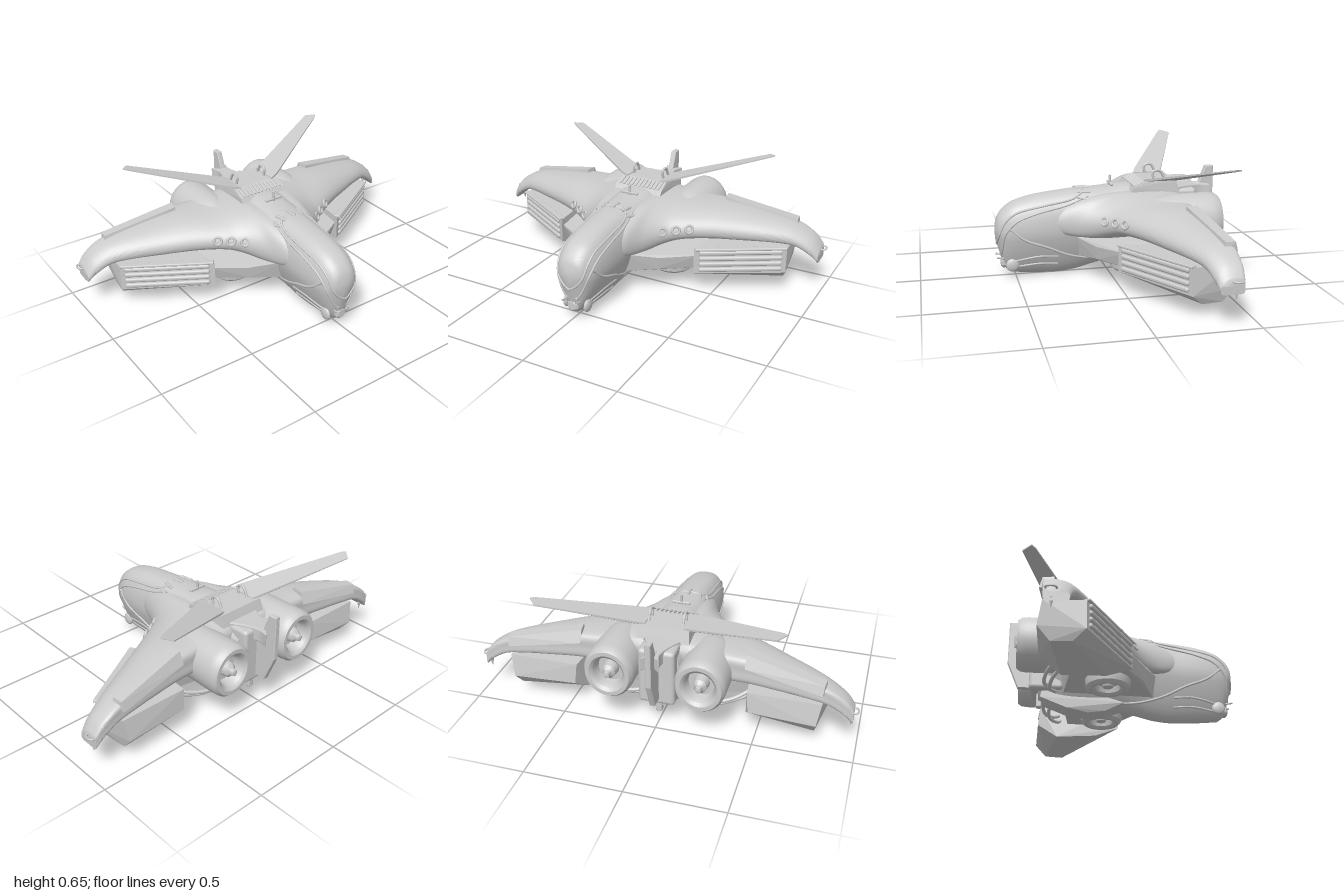
import * as THREE from 'three';
import { toCreasedNormals } from 'three/addons/utils/BufferGeometryUtils.js';
import { ConvexGeometry } from 'three/addons/geometries/ConvexGeometry.js';
import { RoundedBoxGeometry } from 'three/addons/geometries/RoundedBoxGeometry.js';

const V = (x, y, z) => new THREE.Vector3(x, y, z);
const material = new THREE.MeshStandardMaterial({ color: 0xcccccc, side: THREE.DoubleSide });

// Smooth interpolation through a table of stations
function sample(table, t) {
  const last = table.length - 1, i = Math.max(0, Math.min(Math.floor(t), last - 1)), f = t - i;
  const at = k => table[Math.max(0, Math.min(k, last))];
  return table[i].map((b, k) => {
    const a = at(i - 1)[k], c = at(i + 1)[k], d = at(i + 2)[k];
    return b + 0.5 * f * (c - a + f * (2 * a - 5 * b + 4 * c - d + f * (3 * (b - c) + d - a)));
  });
}

// Skin closed rings of points and cap both ends
function loft(rings) {
  const n = rings[0].length, pts = rings.flat(), index = [];
  for (let r = 0; r < rings.length - 1; r++) {
    for (let i = 0; i < n; i++) {
      const a = r * n + i, b = r * n + (i + 1) % n;
      index.push(a, b, a + n, b, b + n, a + n);
    }
  }
  [0, rings.length - 1].forEach(r => {
    const centre = rings[r].reduce((s, p) => s.add(p), V(0, 0, 0)).divideScalar(n);
    const c = pts.push(centre) - 1;
    for (let i = 0; i < n; i++) {
      const a = r * n + i, b = r * n + (i + 1) % n;
      index.push(...(r ? [c, a, b] : [c, b, a]));
    }
  });
  // Turn the skin outwards if its signed volume is negative
  let volume = 0;
  for (let i = 0; i < index.length; i += 3) {
    volume += pts[index[i]].dot(V(0, 0, 0).crossVectors(pts[index[i + 1]], pts[index[i + 2]]));
  }
  if (volume < 0) index.reverse();
  const g = new THREE.BufferGeometry().setFromPoints(pts);
  g.setIndex(index);
  return toCreasedNormals(g, 0.8);
}

function mirrored(geometry) {
  const g = geometry.index ? geometry.toNonIndexed() : geometry.clone();
  g.scale(-1, 1, 1);
  for (const a of Object.values(g.attributes)) {
    for (let i = 0; i < a.count; i += 3) {
      for (let k = 0; k < a.itemSize; k++) {
        const keep = a.getComponent(i + 1, k);
        a.setComponent(i + 1, k, a.getComponent(i + 2, k));
        a.setComponent(i + 2, k, keep);
      }
    }
  }
  return g;
}

const tube = (points, r, seg = 32) =>
  new THREE.TubeGeometry(new THREE.CatmullRomCurve3(points), seg, r, 8);
const box = (w, h, d, x, y, z, r = 0.008) => new RoundedBoxGeometry(w, h, d, 2, r).translate(x, y, z);
const lathe = pts => toCreasedNormals(
  new THREE.LatheGeometry(pts.map(p => new THREE.Vector2(...p)), 40), 0.6);
const hull = pts => new ConvexGeometry(pts.map(p => V(...p)));
const bothSides = pts => pts.flatMap(([x, y, z]) => [[x, y, z], [-x, y, z]]);

// Fuselage stations: z, half width, top, bottom, height of widest line
const BODY = [
  [0.603, 0.03, 0.285, 0.205, 0.25], [0.588, 0.066, 0.33, 0.15, 0.25], [0.555, 0.09, 0.37, 0.045, 0.24],
  [0.5, 0.108, 0.405, 0.015, 0.24], [0.4, 0.12, 0.432, 0.005, 0.24], [0.28, 0.125, 0.448, 0, 0.25],
  [0.18, 0.13, 0.457, 0.01, 0.27], [0.1, 0.138, 0.46, 0.03, 0.29], [0, 0.145, 0.465, 0.05, 0.3],
  [-0.12, 0.145, 0.475, 0.045, 0.3], [-0.3, 0.135, 0.46, 0.055, 0.3], [-0.43, 0.11, 0.44, 0.09, 0.3]];
function bodyPoint(t, angle) {
  const [z, w, top, bottom, mid] = sample(BODY, t), s = Math.sin(angle), c = Math.cos(angle);
  // Square-shouldered above the widest line, tapering below it
  if (s < 0) return V(w * c * (1 + 0.35 * s), mid + s * (mid - bottom), z);
  return V(w * Math.sign(c) * Math.abs(c) ** 0.75, mid + s ** 0.85 * (top - mid), z);
}
const onBody = list => list.map(([t, deg]) => bodyPoint(t, deg * Math.PI / 180));

// Wing stations: x, front z, back z, top, bottom
const WING = [
  [0.05, 0.38, -0.38, 0.445, 0.24], [0.12, 0.29, -0.385, 0.452, 0.225], [0.17, 0.17, -0.385, 0.447, 0.22],
  [0.24, 0.065, -0.385, 0.437, 0.245], [0.32, 0.005, -0.387, 0.427, 0.265], [0.45, -0.07, -0.39, 0.418, 0.27],
  [0.6, -0.145, -0.4, 0.394, 0.265], [0.75, -0.215, -0.415, 0.365, 0.26], [0.85, -0.26, -0.42, 0.335, 0.245],
  [0.93, -0.285, -0.42, 0.287, 0.2], [0.972, -0.3, -0.415, 0.235, 0.16]];
const AIRFOIL = new THREE.CatmullRomCurve3([[0, 0.3], [0.09, 0.65], [0.35, 0.93], [0.7, 1], [0.96, 0.93],
  [1, 0.5], [0.96, 0.05], [0.5, 0], [0.08, 0.04]].map(p => V(p[0], p[1], 0)), true).getPoints(44).slice(0, -1);

export function createModel() {
  const model = new THREE.Group();
  const add = (name, g) => {
    const m = new THREE.Mesh(g, material);
    m.name = name;
    model.add(m);
  };
  const pair = (name, g) => { add(name + 'Left', g); add(name + 'Right', mirrored(g)); };

  // Fuselage
  const rings = [];
  for (let i = 0; i <= 66; i++) {
    rings.push(Array.from({ length: 48 }, (_, k) => bodyPoint(i / 6, k / 24 * Math.PI)));
  }
  add('fuselage', loft(rings));

  // Canopy frame, side creases and collar ribs
  pair('canopyFrame', tube(onBody([[6.5, 90], [6.4, 68], [5.8, 52], [4.5, 46], [3, 41], [2, 28], [1.1, -5],
    [0.7, -45], [0.6, -90]]), 0.006, 60));
  pair('cheekRidge', tube(onBody([[6.8, 55], [5.5, 40], [4, 32], [3, 22], [2, 2], [1.6, -30], [1.5, -60]]), 0.006, 50));
  pair('sideCrease', tube(onBody([[2.5, 12], [3.5, -6], [4.5, -18], [5.5, -34], [7, -52], [8.5, -62]]), 0.007, 50));
  for (let i = -2; i <= 2; i++) {
    add('collarRib', tube(onBody([[6.1, 90 + i * 18], [6.5, 90 + i * 21], [7, 90 + i * 23]]), 0.009, 10));
  }
  // Fluted folds sweeping back from the chin
  [-38, -52].forEach(a => pair('chinFold', tube(onBody([[2.6, a - 8], [3.3, a], [4.2, a + 6], [5, a + 4]]), 0.006, 24)));

  // Chin sensors and probes
  pair('chinSensor', new THREE.SphereGeometry(0.035, 24, 16).scale(0.4, 1, 1).translate(0.06, 0.07, 0.52));
  add('noseSensor', lathe([[0, 0], [0.032, 0], [0.032, 0.045], [0.022, 0.055], [0, 0.055]])
    .rotateX(Math.PI / 2).translate(0, 0.075, 0.522));
  add('noseLip', box(0.08, 0.026, 0.05, 0, 0.125, 0.555, 0.012));
  pair('noseProbe', tube([V(0.035, 0.1, 0.54), V(0.04, 0.105, 0.575), V(0.04, 0.11, 0.6)], 0.005, 8));

  // Wings with drooped tips
  const sections = [];
  for (let i = 0; i <= 60; i++) {
    const [x, zf, zb, top, bottom] = sample(WING, i / 6);
    sections.push(AIRFOIL.map(p => V(x, bottom + (top - bottom) * p.y, zf + (zb - zf) * p.x)));
  }
  pair('wing', loft(sections));
  pair('wingFlap', hull([[0.44, 0.438, -0.31], [0.83, 0.363, -0.37], [0.43, 0.436, -0.37], [0.825, 0.36, -0.422],
    [0.43, 0.34, -0.3], [0.84, 0.3, -0.36], [0.43, 0.37, -0.398], [0.82, 0.31, -0.437]]));
  pair('tipLoop', tube([V(0.95, 0.22, -0.36), V(0.985, 0.222, -0.36), V(0.994, 0.222, -0.38),
    V(0.985, 0.222, -0.405), V(0.95, 0.22, -0.4)], 0.005));
  pair('tipSpike', new THREE.ConeGeometry(0.012, 0.05, 8).rotateX(Math.PI).translate(0.962, 0.155, -0.38));

  // Round ports along the wing's leading edge
  [[0.238, 0.06], [0.297, 0.018], [0.357, -0.018]].forEach(([x, z], i) =>
    pair('wingPort', new THREE.TorusGeometry(0.02, 0.007, 8, 24).rotateX(-0.3).rotateY(0.6)
      .translate(x, 0.327 + i * 0.005, z)));

  // Slung pods with louvred intakes
  pair('pod', hull([
    [0.41, 0.25, 0.03], [0.41, 0.115, 0.03], [0.42, 0.07, -0.1], [0.43, 0.06, -0.32], [0.46, 0.14, -0.43],
    [0.45, 0.25, -0.42], [0.83, 0.25, -0.22], [0.83, 0.11, -0.22], [0.8, 0.058, -0.28], [0.79, 0.06, -0.38],
    [0.8, 0.13, -0.44], [0.82, 0.25, -0.42]]));
  const face = Math.atan2(0.25, 0.42);
  const onFace = (w, h, d, y, r) => box(w, h, d, 0, 0, 0, r).rotateY(face).translate(0.62, y, -0.1);
  for (let i = 0; i < 4; i++) pair('louvre', onFace(0.44, 0.024, 0.036, 0.136 + i * 0.032, 0.01));
  pair('intakeLip', onFace(0.485, 0.014, 0.036, 0.252, 0.005));

  // Pylons carrying the pods
  pair('pylon', hull([[0.08, 0.22, 0.2], [0.08, 0.11, 0.17], [0.25, 0.2, 0.11], [0.24, 0.13, 0.1],
    [0.43, 0.21, 0], [0.43, 0.13, -0.03], [0.43, 0.23, -0.28], [0.43, 0.14, -0.26], [0.08, 0.25, -0.32],
    [0.08, 0.12, -0.3]]));

  // Downward lift fans
  pair('liftFan', lathe([[0.11, 0.2], [0.116, 0.12], [0.11, 0.088], [0.095, 0.074], [0.078, 0.074], [0.064, 0.085],
    [0.058, 0.115], [0.034, 0.115], [0.026, 0.088], [0, 0.084]]).translate(0.24, 0, -0.08));

  // Main engines with thick rims and hub cones
  pair('engine', lathe([[0, 0.12], [0.07, 0.13], [0.115, 0.2], [0.129, 0.28], [0.131, 0.49], [0.127, 0.525],
    [0.115, 0.543], [0.095, 0.543], [0.08, 0.53], [0.072, 0.5], [0.068, 0.47], [0.04, 0.47], [0.034, 0.515],
    [0.018, 0.53], [0.015, 0.55], [0, 0.555]]).rotateX(-Math.PI / 2).scale(1, 1.1, 1).translate(0.235, 0.31, 0));

  // Hoses looping from the belly to the pods
  [0, 0.03].forEach(o => pair('hose', tube([V(0.06, 0.13 + o, -0.34 - o), V(0.15, 0.11 + o, -0.37 - o),
    V(0.28, 0.11 + o, -0.36 - o), V(0.38, 0.13 + o, -0.32 - o), V(0.46, 0.17 + o, -0.3)], 0.01)));

  // Tail housing, belly block and upright fin
  add('tailHousing', box(0.19, 0.31, 0.18, 0, 0.29, -0.39, 0.02));
  add('bellyBlock', hull(bothSides([[0.07, 0.08, 0.02], [0.055, 0.035, -0.08], [0.05, 0.025, -0.17],
    [0.06, 0.045, -0.28], [0.06, 0.1, -0.42], [0.06, 0.2, -0.4]])));
  add('tailHook', box(0.035, 0.08, 0.03, 0, 0.1, -0.425));
  const fin = new THREE.Shape([[0.4, 0.45], [0.52, 0.46], [0.555, 0.55], [0.6, 0.55], [0.6, 0.31], [0.54, 0.165],
    [0.42, 0.165]].map(p => new THREE.Vector2(...p)));
  add('tailFin', new THREE.ExtrudeGeometry(fin, { depth: 0.022, bevelSize: 0.004, bevelThickness: 0.004,
    bevelOffset: -0.004, bevelSegments: 1 }).translate(0, 0, -0.011).rotateY(Math.PI / 2));

  // Waisted fairing at the foot of the fin
  const waist = new THREE.SplineCurve([[0.1, 0.36], [0.075, 0.4], [0.05, 0.45], [0.036, 0.5], [0.036, 0.53],
    [0.048, 0.57]].map(p => new THREE.Vector2(...p))).getPoints(20);
  const plan = new THREE.Shape([...waist, new THREE.Vector2(0, 0.53),
    ...waist.map(p => new THREE.Vector2(-p.x, p.y)).reverse()]);
  add('finFairing', new THREE.ExtrudeGeometry(plan, { depth: 0.06, bevelSize: 0.006, bevelThickness: 0.006,
    bevelOffset: -0.006, bevelSegments: 2 }).rotateX(-Math.PI / 2).translate(0, 0.39, 0));

  // Dorsal deck with front grille, handles and antenna
  add('dorsalDeck', hull(bothSides([[0.14, 0.44, -0.1], [0.14, 0.475, -0.12], [0.135, 0.503, -0.19],
    [0.135, 0.503, -0.35], [0.14, 0.44, -0.37]])));
  for (let i = -5; i <= 5; i++) {
    add('grilleBar', box(0.013, 0.014, 0.065, 0, 0, 0, 0.004).rotateX(0.38).translate(i * 0.023, 0.488, -0.152));
  }
  pair('deckHandle', tube([V(0.09, 0.5, -0.24), V(0.09, 0.545, -0.235), V(0.09, 0.552, -0.27), V(0.09, 0.505, -0.3)], 0.007));
  add('antennaBar', box(0.1, 0.014, 0.016, 0, 0.477, -0.02, 0.005));
  add('antennaMast', new THREE.CylinderGeometry(0.007, 0.009, 0.07, 10).translate(0, 0.485, -0.02));

  // Swept tail planes rising outwards
  pair('tailPlane', hull([0.006, -0.006].flatMap(h => [[0.1, 0.502, -0.18], [0.15, 0.515, -0.195],
    [0.1, 0.502, -0.33], [0.16, 0.515, -0.35], [0.62, 0.645, -0.465], [0.64, 0.65, -0.485], [0.6, 0.64, -0.53]]
    .map(p => [p[0], p[1] + h * (p[0] > 0.5 ? 0.5 : 1), p[2]]))));

  return model;
}
